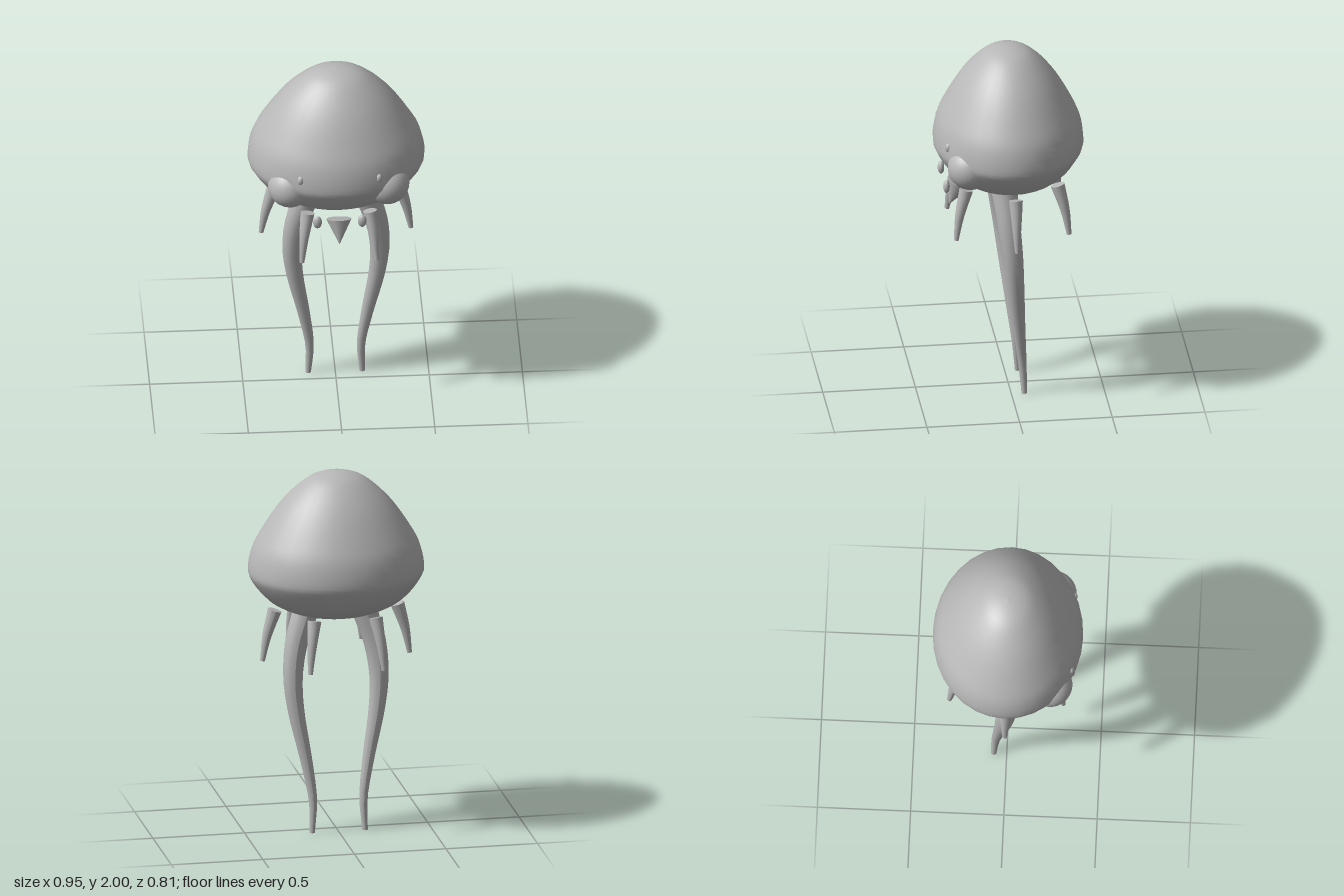
import * as THREE from 'three';

const grey = new THREE.MeshStandardMaterial({ color: 0xb8b8b8 });
grey.name = 'plain grey';

const v = (x, y, z) => new THREE.Vector3(x, y, z);

function add(group, name, geometry, position) {
  const mesh = new THREE.Mesh(geometry, grey);
  mesh.name = name;
  if (position) mesh.position.copy(position);
  group.add(mesh);
  return mesh;
}

// Closed tube along a smooth path, narrowing evenly from r0 to r1
function taperedTube(points, r0, r1, steps, sides = 16) {
  const curve = new THREE.CatmullRomCurve3(points);
  const frames = curve.computeFrenetFrames(steps);
  const position = [], index = [];
  const ring = (t, i, radius) => {
    const c = curve.getPointAt(t);
    for (let j = 0; j <= sides; j++) {
      const a = (j / sides) * Math.PI * 2;
      const p = c.clone()
        .addScaledVector(frames.normals[i], Math.cos(a) * radius)
        .addScaledVector(frames.binormals[i], Math.sin(a) * radius);
      position.push(p.x, p.y, p.z);
    }
  };
  for (let i = 0; i <= steps; i++) ring(i / steps, i, r0 + (r1 - r0) * i / steps);
  const row = sides + 1;
  for (let i = 0; i < steps; i++) {
    for (let j = 0; j < sides; j++) {
      const a = i * row + j, b = a + row;
      index.push(a, a + 1, b, b, a + 1, b + 1);
    }
  }
  // End caps with their own vertices, so the rims stay sharp
  for (const end of [0, 1]) {
    const start = position.length / 3;
    ring(end, end * steps, end ? r1 : r0);
    const c = curve.getPointAt(end);
    position.push(c.x, c.y, c.z);
    for (let j = 0; j < sides; j++) {
      const a = start + j;
      if (end) index.push(start + row, a, a + 1);
      else index.push(start + row, a + 1, a);
    }
  }
  const geometry = new THREE.BufferGeometry();
  geometry.setAttribute('position', new THREE.Float32BufferAttribute(position, 3));
  geometry.setIndex(index);
  geometry.computeVertexNormals();
  return geometry;
}

export function createModel() {
  const model = new THREE.Group();
  model.name = 'jellyfish';

  // Egg-shaped bell, a little narrower from front to back
  const profile = new THREE.SplineCurve([
    [0, 1.195], [0.12, 1.203], [0.25, 1.235], [0.37, 1.3], [0.457, 1.405], [0.475, 1.47],
    [0.453, 1.58], [0.4, 1.68], [0.32, 1.8], [0.24, 1.89], [0.15, 1.962], [0.07, 1.992], [0, 2],
  ].map(([x, y]) => new THREE.Vector2(x, y))).getPoints(40);
  profile[0].x = profile[profile.length - 1].x = 0;
  const bell = add(model, 'bell', new THREE.LatheGeometry(profile, 32));
  bell.scale.z = 0.403 / 0.475;

  for (const s of [-1, 1]) {
    const side = s > 0 ? 'left' : 'right';
    // Bulging eye with a small bead above it
    add(model, side + 'Eye', new THREE.SphereGeometry(0.12, 32, 20), v(s * 0.26, 1.415, 0.237));
    add(model, side + 'EyeBead', new THREE.SphereGeometry(1, 16, 12), v(s * 0.21, 1.515, 0.347))
      .scale.set(0.018, 0.027, 0.018);
    // Bead hanging beside the beak
    add(model, side + 'LowerBead', new THREE.SphereGeometry(1, 16, 12), v(s * 0.12, 1.243, 0.347))
      .scale.set(0.024, 0.037, 0.018);
    // Long trailing tentacle
    const path = [
      [0.155, 1.225, 0.04], [0.215, 1.03, 0.02], [0.235, 0.85, 0], [0.222, 0.68, -0.015],
      [0.17, 0.4, -0.04], [0.138, 0.18, -0.06], [0.145, 0.003, -0.07],
    ].map(([x, y, z]) => v(s * x, y, z));
    add(model, side + 'LongTentacle', taperedTube(path, 0.07, 0.015, 18));
  }

  // Beak cone, tipped forward
  const beak = add(model, 'beak', new THREE.ConeGeometry(0.068, 0.14, 16), v(0, 1.142, 0.292));
  beak.rotation.x = Math.PI - 0.4;

  // Ring of six short tentacles that flare outward
  for (let i = 0; i < 6; i++) {
    const a = (i / 6) * Math.PI * 2;
    const path = [[0.335, 0.285, 1.24], [0.377, 0.328, 1.1], [0.402, 0.352, 0.96]]
      .map(([rx, rz, y]) => v(Math.cos(a) * rx, y, Math.sin(a) * rz));
    add(model, 'shortTentacle' + (i + 1), taperedTube(path, 0.038, 0.013, 8));
  }

  return model;
}
